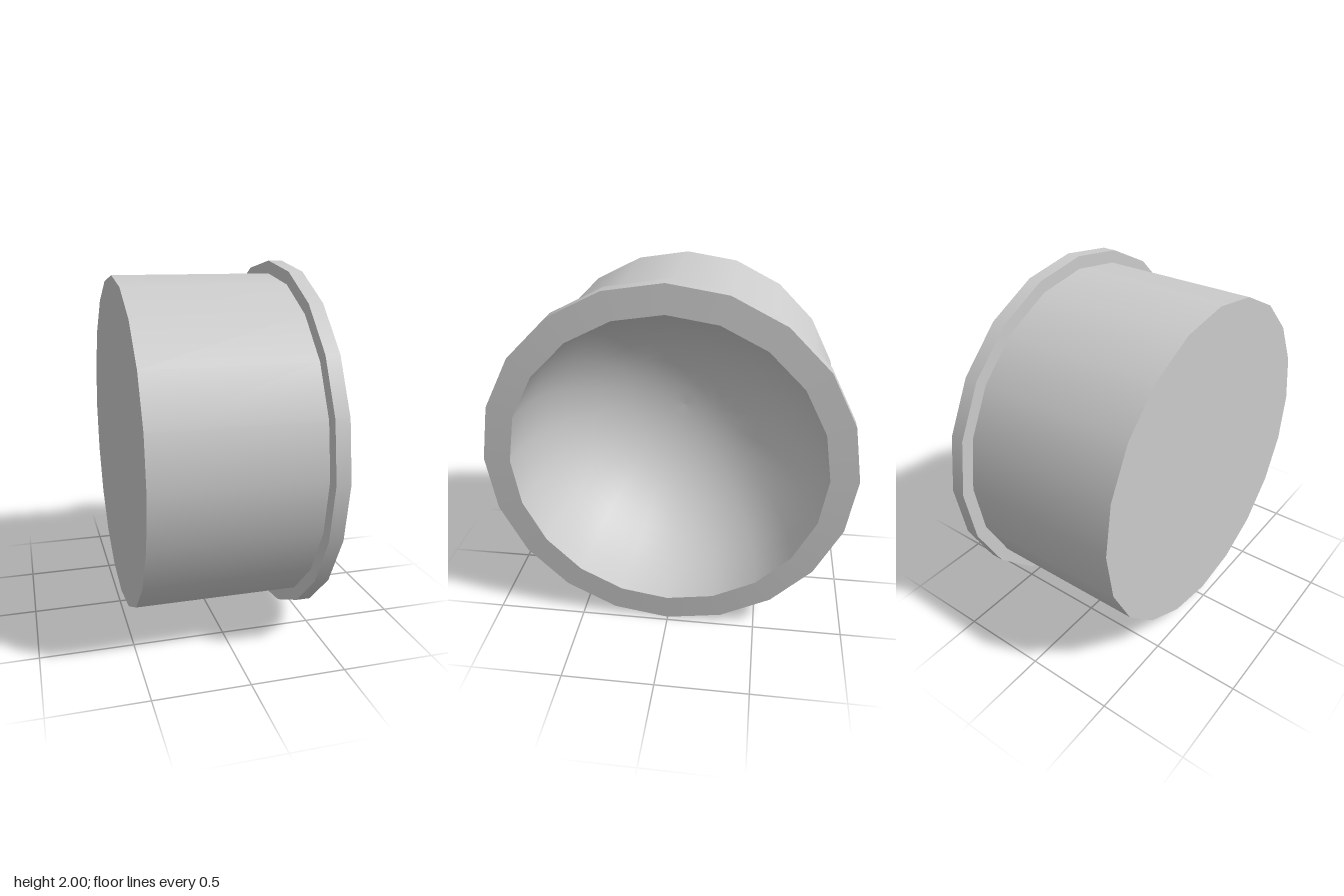
import * as THREE from 'three';

const SIDES = 20;

export function createModel() {
  const group = new THREE.Group();
  const material = new THREE.MeshStandardMaterial({ color: 0xcccccc });

  // Each surface is its own lathe, so the corners between them stay sharp.
  // Points are [radius, position along the axis].
  const addLathe = (name, points) => {
    const profile = points.map(([r, a]) => new THREE.Vector2(r, a));
    const mesh = new THREE.Mesh(new THREE.LatheGeometry(profile, SIDES), material);
    mesh.name = name;
    group.add(mesh);
  };

  // Drum with a closed back
  addLathe('backDisc', [[0, -0.49], [0.93, -0.49]]);
  addLathe('drumWall', [[0.93, -0.49], [0.93, 0.4]]);

  // Flange around the opening, its face sloping slightly outwards to the bowl
  addLathe('flangeBack', [[0.93, 0.4], [1, 0.4]]);
  addLathe('flangeEdge', [[1, 0.4], [1, 0.477]]);
  addLathe('flangeFace', [[1, 0.477], [0.85, 0.487]]);

  // Hemispherical hollow
  const bowl = [];
  const steps = 16;
  for (let i = 0; i <= steps; i++) {
    const t = (i / steps) * Math.PI / 2;
    bowl.push([i === steps ? 0 : 0.85 * Math.cos(t), 0.487 - 0.85 * Math.sin(t)]);
  }
  addLathe('bowl', bowl);

  // Lay the axis along x and stand the flange on the ground
  group.rotation.z = -Math.PI / 2;
  group.position.y = 1;
  const model = new THREE.Group();
  group.name = 'hollowDrum';
  model.add(group);
  return model;
}
